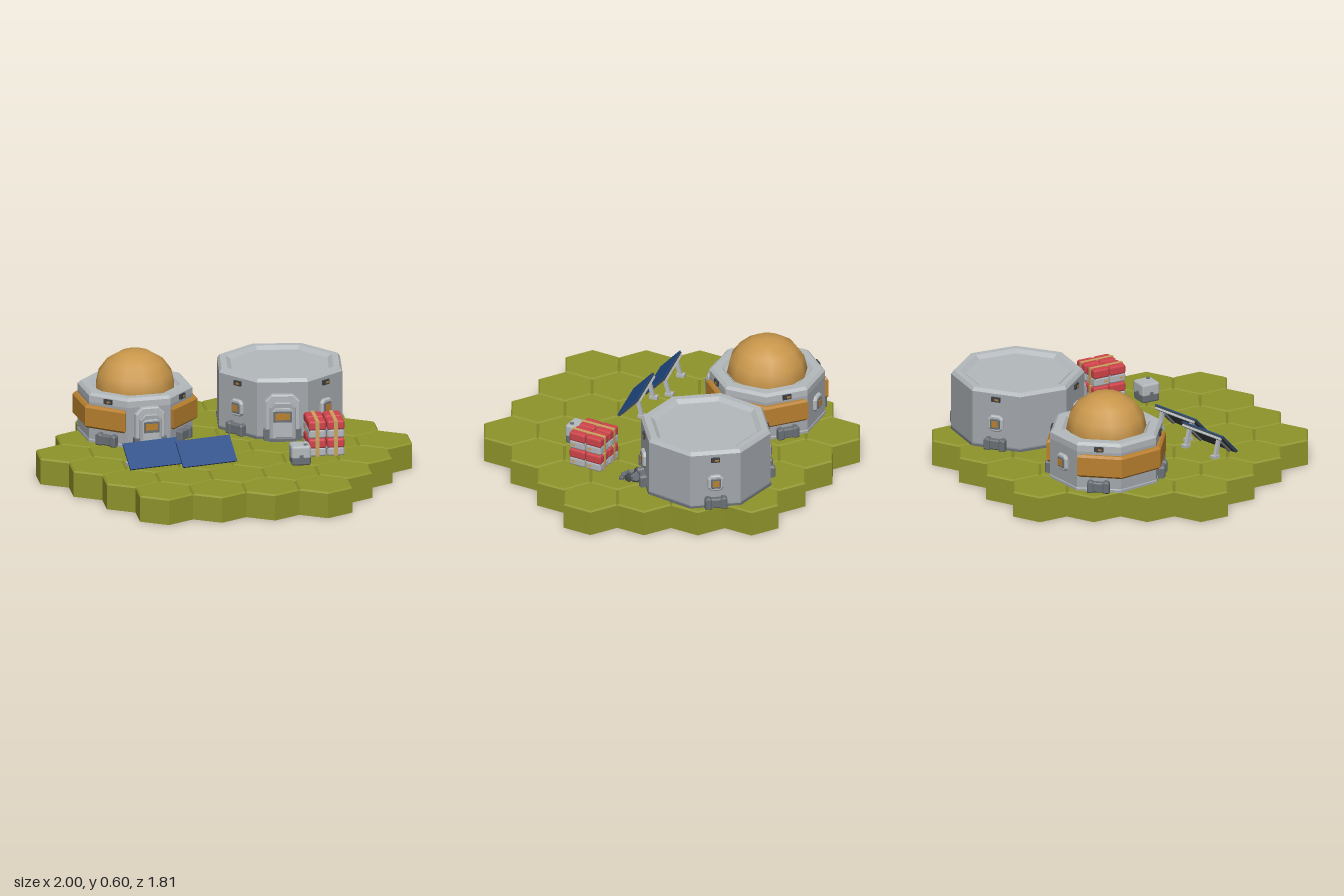
import * as THREE from 'three';
import { RoundedBoxGeometry } from 'three/addons/geometries/RoundedBoxGeometry.js';

const paint = (name, color) => {
  const m = new THREE.MeshStandardMaterial({ color });
  m.name = name;
  return m;
};
const M = {
  grass: paint('olive ground', 0x8f942b),
  wall: paint('wall grey', 0xa3a8ad),
  light: paint('light grey', 0xb4b9bd),
  dark: paint('dark grey', 0x6a7076),
  black: paint('charcoal', 0x3c3f44),
  dome: paint('dome orange', 0xc9974b),
  amber: paint('amber', 0xb9802f),
  red: paint('crate red', 0xd0444b),
  blue: paint('solar blue', 0x1f4a86),
  tan: paint('strap tan', 0xcaa25f),
};
const GROUND = 0.143;

function add(parent, name, geo, mat, x = 0, y = 0, z = 0) {
  const m = new THREE.Mesh(geo, mat);
  m.name = name;
  m.position.set(x, y, z);
  parent.add(m);
  return m;
}
function group(parent, name, x = 0, y = 0, z = 0, ry = 0) {
  const g = new THREE.Group();
  g.name = name;
  g.position.set(x, y, z);
  g.rotation.y = ry;
  parent.add(g);
  return g;
}
const box = (w, h, d) => new THREE.BoxGeometry(w, h, d);

// Faceted prism with a stepped profile, listed from bottom to top
function faceted(points, sides, start) {
  const g = new THREE.LatheGeometry(points.map(p => new THREE.Vector2(...p)), sides, start).toNonIndexed();
  g.computeVertexNormals();
  return g;
}
// Plate with cut corners: t cuts the top pair, b the bottom pair; back at z = 0
function plate(w, h, d, t, b = t) {
  const x = w / 2, y = h / 2;
  const pts = [[-x + b, -y], [x - b, -y], [x, -y + b], [x, y - t], [x - t, y], [-x + t, y], [-x, y - t], [-x, -y + b]];
  const s = new THREE.Shape(pts.map(p => new THREE.Vector2(...p)));
  const e = Math.min(0.006, d / 3);
  return new THREE.ExtrudeGeometry(s, { depth: d - e, bevelThickness: e, bevelSize: e, bevelOffset: -e, bevelSegments: 1 });
}

// Details mounted on a wall face whose plane is z = 0
function addWindow(face, y) {
  add(face, 'windowFrame', plate(0.085, 0.09, 0.018, 0.018), M.light, 0, y, 0);
  add(face, 'windowSurround', plate(0.055, 0.058, 0.008, 0.006), M.dark, 0, y, 0.015);
  add(face, 'windowPane', box(0.034, 0.034, 0.006), M.amber, 0, y, 0.024);
}
function addVent(face, y) {
  add(face, 'vent', box(0.048, 0.026, 0.014), M.black, 0, y, 0.004);
  add(face, 'ventLamp', box(0.02, 0.01, 0.004), M.amber, 0.006, y, 0.012);
}
function addFootBox(face) {
  add(face, 'footBox', plate(0.115, 0.055, 0.03, 0.012, 0), M.dark, 0, GROUND + 0.03, 0);
  for (const s of [-1, 1]) add(face, 'footBoxEnd', plate(0.035, 0.065, 0.038, 0.01, 0), M.dark, s * 0.042, GROUND + 0.033, 0);
}
function addDoor(face, w, h) {
  const y = GROUND + h / 2;
  add(face, 'doorFrame', plate(w, h, 0.032, 0.035, 0), M.light, 0, y, 0);
  add(face, 'doorInnerFrame', plate(w * 0.76, h * 0.84, 0.048, 0.028, 0), M.wall, 0, y - h * 0.07, 0);
  add(face, 'doorPanel', plate(w * 0.58, h * 0.66, 0.008, 0.015, 0), M.light, 0, y - h * 0.1, 0.045);
  add(face, 'doorWindowFrame', box(w * 0.52, 0.06, 0.006), M.dark, 0, y + 0.01, 0.054);
  add(face, 'doorWindow', box(w * 0.42, 0.036, 0.006), M.amber, 0, y + 0.012, 0.056);
  add(face, 'doorStep', box(w * 0.8, 0.014, 0.02), M.dark, 0, GROUND + 0.007, 0.052);
  for (const s of [-1, 1]) add(face, 'doorFoot', box(0.03, 0.06, 0.045), M.dark, s * w * 0.46, GROUND + 0.03, 0.02);
}
const faceAt = (parent, i, apothem) => {
  const turn = group(parent, 'wallFace' + i, 0, 0, 0, i * Math.PI / 4);
  return group(turn, 'wallDetails', 0, 0, apothem);
};

// Hexagonal tiles in rings of three
function addGround(root) {
  const g = group(root, 'ground');
  const r = 2 / 7 / Math.sqrt(3);
  const tile = faceted([[0, 0], [r, 0], [r, 0.135], [r - 0.009, GROUND], [0, GROUND]], 6, 0);
  for (let row = -3; row <= 3; row++) {
    const n = 7 - Math.abs(row);
    for (let i = 0; i < n; i++) add(g, 'hexTile', tile, M.grass, (i - (n - 1) / 2) * 2 / 7, 0, row * r * 1.5);
  }
}

// Flat-roofed octagonal building
function addHall(root) {
  const g = group(root, 'hall', 0.36, 0, -0.42, -0.1);
  const R = 0.355, a = R * Math.cos(Math.PI / 8), s = Math.PI / 8;
  add(g, 'hallWalls', faceted([[R, 0.14], [R, 0.455]], 8, s), M.wall);
  add(g, 'hallRoof', faceted([[R, 0.455], [R - 0.014, 0.474], [0.305, 0.474], [0.28, 0.455], [0, 0.455]], 8, s), M.light);
  add(g, 'hallSkirt', faceted([[R + 0.004, 0.14], [R + 0.004, 0.155], [R, 0.16]], 8, s), M.dark);
  addDoor(faceAt(g, 0, a), 0.185, 0.25);
  for (const i of [1, 3, 5, 7]) {
    const f = faceAt(g, i, a);
    addWindow(f, 0.29);
    addVent(f, 0.425);
    addFootBox(f);
  }
}

// Domed octagonal building with side tanks
function addDomeHouse(root) {
  const g = group(root, 'domeHouse', -0.43, 0, -0.335, 0.12);
  const R = 0.308, a = R * Math.cos(Math.PI / 8), s = Math.PI / 8;
  add(g, 'domeHouseWalls', faceted([[R + 0.004, 0.14], [R + 0.004, 0.155], [R, 0.16], [R, 0.365]], 8, s), M.wall);
  add(g, 'domeHouseRim', faceted([[R, 0.365], [R, 0.4], [R - 0.016, 0.415], [0.245, 0.415], [0.23, 0.4], [0.1, 0.4]], 8, s), M.light);
  add(g, 'dome', new THREE.SphereGeometry(0.216, 12, 4, 0, Math.PI * 2, 0, Math.PI / 2), M.dome, 0, 0.4, 0).scale.y = 0.92;

  // Each tank wraps three faces of one side
  const at = (r, deg) => new THREE.Vector2(r * Math.sin(deg * Math.PI / 180), -r * Math.cos(deg * Math.PI / 180));
  const outer = [26, 67.5, 112.5, 154].map((d, i) => at(i % 3 ? 0.323 : 0.312, d));
  const inner = [154, 112.5, 67.5, 26].map(d => at(0.275, d));
  const tank = new THREE.ExtrudeGeometry(new THREE.Shape([...outer, ...inner]),
    { depth: 0.101, bevelThickness: 0.012, bevelSize: 0.012, bevelSegments: 1 });
  tank.rotateX(-Math.PI / 2);
  for (const turn of [0, Math.PI]) add(g, 'sideTank', tank, M.amber, 0, 0.237, 0).rotation.y = turn;

  addDoor(faceAt(g, 0, a), 0.16, 0.225);
  addWindow(faceAt(g, 4, a), 0.27);
  for (const i of [1, 3, 5, 7]) {
    const f = faceAt(g, i, a);
    addVent(f, 0.383);
    addFootBox(f);
  }
}

// Tilted panel on two rear struts
function addSolarPanel(root, x) {
  const g = group(root, 'solarPanel', x, 0, 0.305, 0.25);
  const tilt = group(g, 'tiltedPanel', 0, 0.213, 0);
  tilt.rotation.x = -0.76;
  add(tilt, 'solarCells', box(0.31, 0.158, 0.006), M.blue, 0, 0, 0.003);
  add(tilt, 'panelBack', box(0.306, 0.154, 0.008), M.black, 0, 0, -0.004);
  add(tilt, 'panelTopRail', box(0.29, 0.012, 0.014), M.light, 0, 0.07, -0.013);
  for (const s of [-0.11, 0.11]) {
    add(tilt, 'panelRail', box(0.018, 0.14, 0.012), M.dark, s, 0, -0.012);
    const strut = add(g, 'strut', box(0.018, 0.1, 0.02), M.light, s, 0.19, -0.055);
    strut.rotation.x = 0.25;
    add(g, 'strutFoot', box(0.032, 0.016, 0.045), M.light, s, GROUND + 0.008, -0.068);
  }
}

// Stack of strapped two-tone crates
function addCrates(root) {
  const g = group(root, 'crateStack', 0.512, GROUND, 0.182);
  const s = 0.096;
  for (const ix of [-1, 1]) for (const iz of [-1, 1]) for (const iy of [0, 1]) {
    const c = group(g, 'crate', ix * 0.0495, iy * 0.1 + 0.005, iz * 0.0495);
    add(c, 'crateBase', new RoundedBoxGeometry(s, 0.05, s, 1, 0.012), M.light, 0, 0.025, 0);
    add(c, 'crateLid', new RoundedBoxGeometry(s, 0.052, s, 1, 0.012), M.red, 0, 0.07, 0);
    add(c, 'crateSeam', box(s - 0.008, 0.012, s - 0.008), M.dark, 0, 0.046, 0);
    add(c, 'crateStrap', box(0.02, 0.094, s + 0.004), M.tan, 0, 0.05, 0);
    add(c, 'crateLabel', box(0.004, 0.014, 0.022), M.tan, ix * 0.048, 0.026, 0.02);
  }
}

function addSupplyBox(root) {
  const g = group(root, 'supplyBox', 0.355, GROUND, 0.37);
  add(g, 'boxBase', new RoundedBoxGeometry(0.104, 0.055, 0.104, 1, 0.012), M.dark, 0, 0.03, 0);
  add(g, 'boxLid', new RoundedBoxGeometry(0.108, 0.074, 0.108, 1, 0.014), M.light, 0, 0.074, 0);
  add(g, 'boxCap', new THREE.CylinderGeometry(0.011, 0.011, 0.008, 10), M.dark, 0.025, 0.112, 0.024);
  for (const t of [0, 1, 2, 3]) {
    const side = group(g, 'boxSide', 0, 0, 0, t * Math.PI / 2);
    add(side, 'boxLatch', box(0.022, 0.026, 0.006), M.dark, 0, 0.05, 0.053);
  }
}

// Scattered rubble
function addRocks(root) {
  const g = group(root, 'rocks', 0.57, GROUND, -0.09);
  const spots = [[-0.05, 0.0, 0.024], [-0.015, -0.035, 0.03], [0.02, -0.03, 0.026], [0.03, 0.005, 0.024], [-0.03, 0.03, 0.02],
    [0.015, 0.04, 0.02], [-0.055, -0.03, 0.022], [0.04, 0.045, 0.015], [-0.01, 0.055, 0.014]];
  spots.forEach(([x, z, r], i) => {
    const rock = add(g, 'rock', new THREE.DodecahedronGeometry(r, 0), i % 3 ? M.dark : M.black, x, r * 0.8, z);
    rock.rotation.set(i * 1.3, i * 2.1, i * 0.7);
    rock.scale.set(1, 1.25, 0.85);
  });
}

export function createModel() {
  const root = new THREE.Group();
  root.name = 'colonyOutpost';
  addGround(root);
  addHall(root);
  addDomeHouse(root);
  for (const x of [-0.425, -0.14]) addSolarPanel(root, x);
  addCrates(root);
  addSupplyBox(root);
  addRocks(root);
  return root;
}
